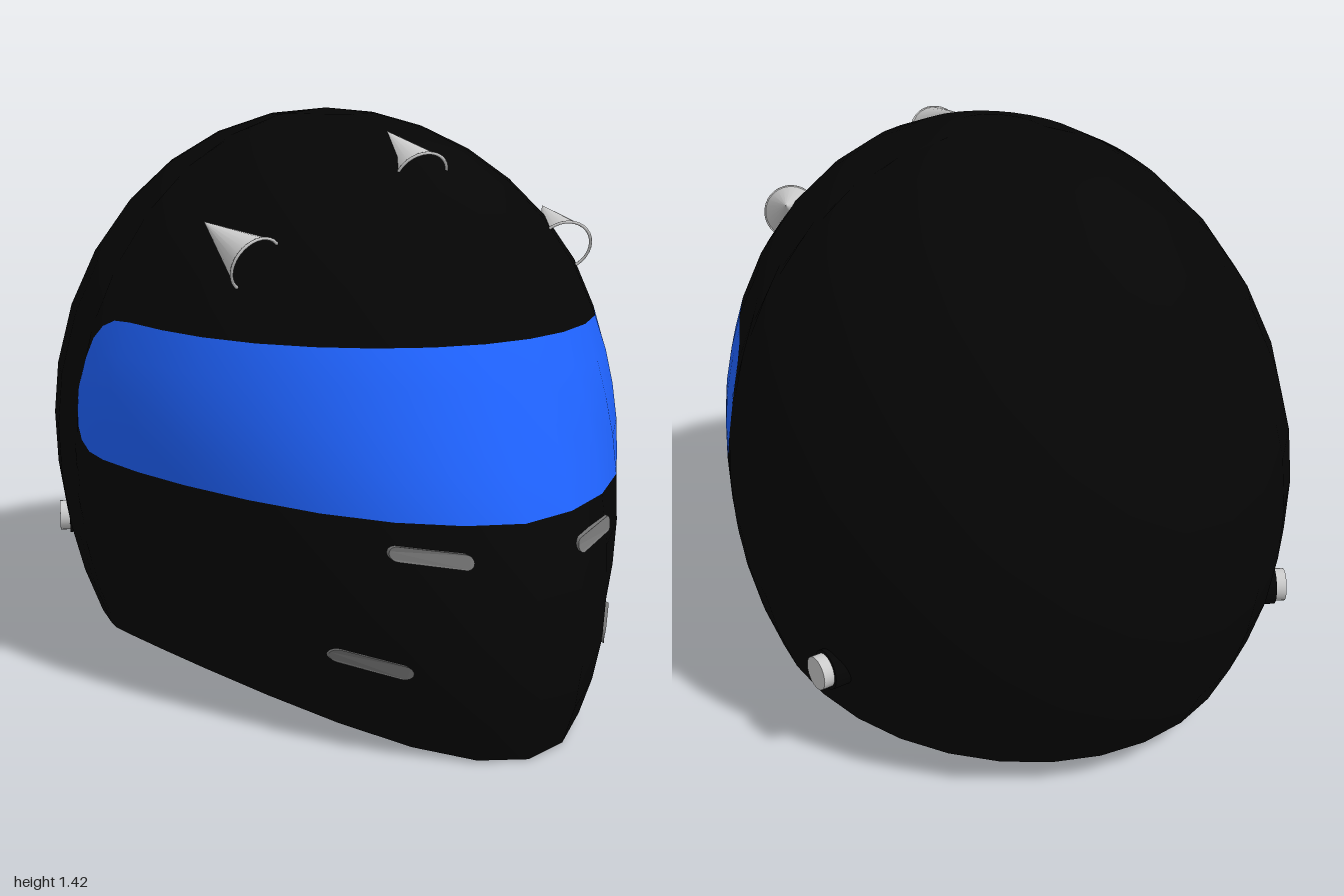
import * as THREE from 'three';
import { mergeGeometries, mergeVertices } from 'three/addons/utils/BufferGeometryUtils.js';

const RAD = Math.PI / 180;
const MID = 0.58, RISE = 0.85, ZC = -0.1; // widest height, dome rise, centre depth

// Linear lookup in rows of [key, value...]
function lookup(table, key, col = 1) {
  if (key <= table[0][0]) return table[0][col];
  for (let i = 1; i < table.length; i++) {
    const a = table[i - 1], b = table[i];
    if (key <= b[0]) return a[col] + (b[col] - a[col]) * (key - a[0]) / (b[0] - a[0]);
  }
  return table[table.length - 1][col];
}

// By height: forward reach of the face, and how pointed it is in plan
const FRONT = [[0, 1.30], [0.17, 1.21], [0.35, 1.116], [0.55, 1.02], [0.74, 0.947],
  [0.925, 0.914], [1.08, 0.927], [1.21, 0.954], [1.31, 0.996], [1.43, 1.0]];
const TAPER = [[0.1, 1.85], [0.3, 1.65], [0.55, 1.32], [0.75, 1.1], [0.925, 0.98],
  [1.1, 0.92], [1.3, 1]];
// Eye opening: degrees from the front, lower edge, upper edge
const EYE = [[0, 0.55, 0.925], [25, 0.562, 0.925], [50, 0.577, 0.925], [75.5, 0.583, 0.93],
  [80.5, 0.59, 0.925], [84, 0.612, 0.905], [86.3, 0.645, 0.87], [87.6, 0.69, 0.81],
  [88.3, 0.74, 0.74]];

// Point of the helmet surface at an angle from the front and a height
function shellPoint(deg, y) {
  const d = y - MID;
  const ring = (h) => Math.sqrt(Math.max(0, 1 - (d / (d > 0 ? RISE : h)) ** 2));
  const c = Math.cos(deg * RAD);
  const z = c > 0
    ? ring(0.98) * lookup(FRONT, y) * Math.pow(c, lookup(TAPER, y))
    : ring(0.9) * 0.9 * c;
  return new THREE.Vector3(0.72 * ring(0.98) * Math.sin(deg * RAD), y, ZC + z);
}

// Depth of the front surface at a given x and y
function frontZ(x, y) {
  return shellPoint(Math.asin(x / shellPoint(90, y).x) / RAD, y).z;
}

// Grid between two height rules, with rows spaced evenly by latitude
function band(degs, low, high, rows) {
  const pos = [], index = [], w = rows + 1;
  const lat = (y) => Math.asin(THREE.MathUtils.clamp((y - MID) / RISE, -1, 1));
  degs.forEach((deg, i) => {
    const a = lat(low(Math.abs(deg))), b = lat(high(Math.abs(deg)));
    for (let j = 0; j <= rows; j++) {
      const p = shellPoint(deg, MID + RISE * Math.sin(a + (b - a) * j / rows));
      pos.push(p.x, p.y, p.z);
      if (i < degs.length - 1 && j < rows) {
        const k = i * w + j;
        index.push(k, k + w, k + 1, k + w, k + w + 1, k + 1);
      }
    }
  });
  const g = new THREE.BufferGeometry();
  g.setAttribute('position', new THREE.Float32BufferAttribute(pos, 3));
  g.setIndex(index);
  return g;
}

function smooth(g) {
  const m = mergeVertices(g, 1e-4);
  m.computeVertexNormals();
  return m;
}

// Round-ended slat centred at x, y, bent to follow the front surface
function slatGeometry(x, y, length, tilt) {
  const r = 0.017, h = length / 2 - r;
  const shape = new THREE.Shape();
  shape.absarc(h, 0, r, -Math.PI / 2, Math.PI / 2);
  shape.absarc(-h, 0, r, Math.PI / 2, Math.PI * 1.5);
  shape.closePath();
  const g = new THREE.ExtrudeGeometry(shape, { depth: 0.02, bevelEnabled: false, curveSegments: 6 });
  g.translate(0, 0, -0.012).rotateZ(tilt).translate(x, y, 0);
  const p = g.attributes.position;
  for (let i = 0; i < p.count; i++) p.setZ(i, p.getZ(i) + frontZ(p.getX(i), p.getY(i)));
  g.computeVertexNormals();
  return g;
}

const mirrored = (half) => [...half.slice(1).reverse().map((d) => -d), ...half];

export function createModel() {
  const group = new THREE.Group();
  const black = new THREE.MeshStandardMaterial({ color: 0x050505, side: THREE.DoubleSide });
  const blue = new THREE.MeshStandardMaterial({ color: 0x1f63ff, side: THREE.DoubleSide });
  const grey = new THREE.MeshStandardMaterial({ color: 0xcccccc });
  const darkGrey = new THREE.MeshStandardMaterial({ color: 0x777777 });
  const add = (name, geometry, material) => {
    const mesh = new THREE.Mesh(geometry, material);
    mesh.name = name;
    group.add(mesh);
    return mesh;
  };
  const up = new THREE.Vector3(0, 1, 0);

  // Columns: finer near the ends of the eye opening
  const front = [0, 11.25, 22.5, 33.75, 45, 56.25, 66, 75.5, 80.5, 84, 86.3, 87.6, 88.3];
  const back = [93];
  for (let i = 1; i <= 8; i++) back.push(90 + i * 11.25);
  const around = mirrored([...front, ...back]);

  const rim = (d) => 0.08 - 0.075 * Math.max(0, Math.cos(d * RAD)) ** 4;
  const eyeLow = (d) => lookup(EYE, d, 1);
  const eyeHigh = (d) => lookup(EYE, d, 2);

  // Hollow shell, open below and at the eyes
  add('shell', smooth(mergeGeometries([
    band(around, rim, eyeLow, 5),
    band(around, eyeHigh, () => MID + RISE, 7),
  ])), black);

  // Visor filling the eye opening
  add('visor', smooth(band(mirrored(front), eyeLow, eyeHigh, 4)), blue);

  // Open half-sunk cone on the crown, pointing back, with a thin lip
  const scoop = (name, tip, base) => {
    const axis = tip.clone().sub(base), length = axis.length();
    const cone = new THREE.ConeGeometry(0.07, length, 24, 1, true);
    const lip = new THREE.TorusGeometry(0.069, 0.004, 6, 32);
    lip.rotateX(Math.PI / 2).translate(0, -length / 2, 0);
    const m = add(name, mergeGeometries([cone, lip]), grey);
    m.position.copy(base).addScaledVector(axis, 0.5);
    m.quaternion.setFromUnitVectors(up, axis.normalize());
  };
  scoop('topScoop', new THREE.Vector3(0.01, 1.382, 0.23), new THREE.Vector3(0.01, 1.28, 0.405));

  for (const [side, label] of [[1, 'left'], [-1, 'right']]) {
    scoop(label + 'Scoop', new THREE.Vector3(side * 0.478, 1.178, 0.22),
      new THREE.Vector3(side * 0.425, 1.093, 0.408));

    // Vent slats on the chin
    add(label + 'UpperVent', slatGeometry(side * 0.215, 0.488, 0.158, side * 0.1), darkGrey);
    add(label + 'LowerVent', slatGeometry(side * 0.317, 0.229, 0.128, side * 0.12), darkGrey);

    // Strap bolt: dark collar with a light head
    const axis = new THREE.Vector3(side * 0.96, 0, -0.28).normalize();
    const seat = new THREE.Vector3(side * 0.575, 0.27, -0.55);
    for (const [name, r, from, to, mat] of [
      ['BoltCollar', 0.05, -0.03, 0.025, black], ['BoltHead', 0.042, 0.02, 0.052, grey]]) {
      const m = add(label + name, new THREE.CylinderGeometry(r, r, to - from, 24), mat);
      m.position.copy(seat).addScaledVector(axis, (from + to) / 2);
      m.quaternion.setFromUnitVectors(up, axis);
    }
  }
  return group;
}
